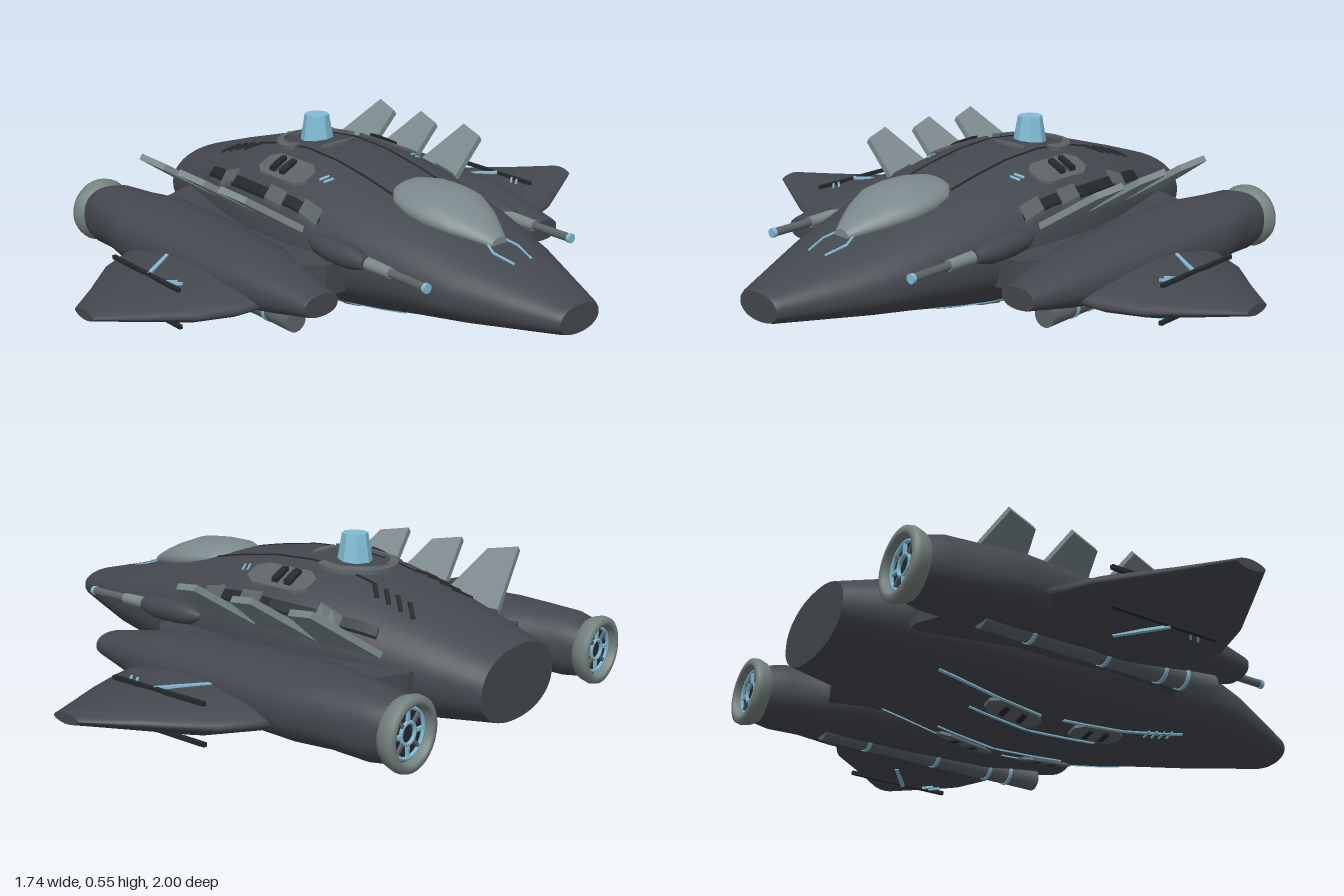
import * as THREE from 'three';

const mat = (name, color, side = THREE.FrontSide) => {
  const m = new THREE.MeshStandardMaterial({ color, side });
  m.name = name;
  return m;
};

// Hull stations: x, half width, top y, bottom y
const HULL = [
  [-0.87, 0.185, 0.32, 0.1], [-0.7, 0.235, 0.375, 0.078], [-0.5, 0.285, 0.435, 0.052],
  [-0.35, 0.32, 0.468, 0.028], [-0.2, 0.345, 0.483, 0.01], [-0.05, 0.336, 0.476, 0.018],
  [0.1, 0.32, 0.452, 0.03], [0.25, 0.293, 0.42, 0.055], [0.4, 0.258, 0.385, 0.085],
  [0.57, 0.215, 0.335, 0.115], [0.72, 0.15, 0.295, 0.14], [0.855, 0.09, 0.26, 0.162], [0.87, 0.08, 0.253, 0.167],
];
const HULL_POWER = 2.2;

// Height of the hull skin at x, z (sign 1 = upper side, -1 = lower side)
function hullY(x, z, sign) {
  let i = 0;
  while (i < HULL.length - 2 && x > HULL[i + 1][0]) i++;
  const a = HULL[i], b = HULL[i + 1], t = (x - a[0]) / (b[0] - a[0]);
  const [w, top, bottom] = [1, 2, 3].map((k) => a[k] + (b[k] - a[k]) * t);
  const r = Math.min(1, Math.abs(z) / w);
  return (top + bottom) / 2 + sign * (top - bottom) / 2 * Math.pow(1 - Math.pow(r, HULL_POWER), 1 / HULL_POWER);
}

// Superellipse ring; u is the in-plane horizontal axis ('z' for hulls, 'x' for wings)
function ring(axis, at, cu, cy, hu, hy, power = 2, n = 32) {
  return Array.from({ length: n }, (_, i) => {
    const a = i / n * Math.PI * 2, c = Math.cos(a), s = Math.sin(a);
    const u = cu + hu * Math.sign(c) * Math.pow(Math.abs(c), 2 / power);
    const y = cy + hy * Math.sign(s) * Math.pow(Math.abs(s), 2 / power);
    return axis === 'x' ? [at, y, u] : [u, y, at];
  });
}

// Smooth skin over rings, with flat end caps; the winding is made to face outward
function loft(rings) {
  const n = rings[0].length, pos = rings.flat(), idx = [];
  for (let r = 0; r < rings.length - 1; r++) {
    for (let i = 0; i < n; i++) {
      const j = (i + 1) % n, a = r * n + i, b = r * n + j, c = a + n, d = b + n;
      idx.push([a, c, b], [b, c, d]);
    }
  }
  for (const [cap, flip] of [[rings[0], false], [rings[rings.length - 1], true]]) {
    const s = pos.length;
    pos.push(...cap);
    for (let i = 1; i < n - 1; i++) idx.push(flip ? [s, s + i + 1, s + i] : [s, s + i, s + i + 1]);
  }
  const v = (k) => new THREE.Vector3(...pos[k]);
  const volume = idx.reduce((sum, [a, b, c]) => sum + v(a).dot(v(b).cross(v(c))), 0);
  if (volume < 0) idx.forEach((f) => f.reverse());
  const g = new THREE.BufferGeometry();
  g.setAttribute('position', new THREE.Float32BufferAttribute(pos.flat(), 3));
  g.setIndex(idx.flat());
  g.computeVertexNormals();
  return g;
}

// Lay a flat geometry (lying in xz) over the hull skin
function drape(geo, sign = 1) {
  const g = geo.index ? geo.toNonIndexed() : geo, p = g.attributes.position;
  for (let i = 0; i < p.count; i++) p.setY(i, p.getY(i) + hullY(p.getX(i), p.getZ(i), sign));
  g.computeVertexNormals();
  return g;
}

function bar(x1, z1, x2, z2, width, height) {
  const len = Math.hypot(x2 - x1, z2 - z1);
  return new THREE.BoxGeometry(len, height, width, Math.ceil(len / 0.04), 1, 1)
    .rotateY(-Math.atan2(z2 - z1, x2 - x1)).translate((x1 + x2) / 2, 0, (z1 + z2) / 2);
}

// Plate from an outline of [x, z] points, centred on y = 0
function plate(points, height) {
  const shape = new THREE.Shape(points.map(([x, z]) => new THREE.Vector2(x, -z)));
  return new THREE.ExtrudeGeometry(shape, { depth: height, bevelEnabled: false })
    .rotateX(-Math.PI / 2).translate(0, -height / 2, 0);
}

const hexPlate = (x, z, l, w, h) => plate([[-l, -w * 0.5], [-l * 0.7, -w], [l * 0.7, -w], [l, -w * 0.5],
  [l, w * 0.5], [l * 0.7, w], [-l * 0.7, w], [-l, w * 0.5]].map(([a, b]) => [x + a, z + b]), h);

// Cylinder along x from x1 to x2
const rod = (x1, x2, r1, r2, y, z, n = 16) =>
  new THREE.CylinderGeometry(r2, r1, x2 - x1, n).rotateZ(-Math.PI / 2).translate((x1 + x2) / 2, y, z);

export function createModel() {
  const dark = mat('hull charcoal', 0x44484f);
  const gray = mat('panel gray', 0x7c898c);
  const steel = mat('steel', 0x5c6468);
  const blue = mat('glow blue', 0x82bdd6);
  const black = mat('trim black', 0x26292d);
  const flare = mat('nozzle gray', 0x75827f, THREE.DoubleSide);

  const model = new THREE.Group();
  const side = new THREE.Group();
  side.name = 'leftSide';
  const add = (parent, name, geo, material) => {
    const m = new THREE.Mesh(geo, material);
    m.name = name;
    parent.add(m);
    return m;
  };

  // Fuselage
  add(model, 'fuselage', loft(HULL.map(([x, w, t, b]) =>
    ring('x', x, 0, (t + b) / 2, w, (t - b) / 2, HULL_POWER, 48))), dark);

  // Cockpit canopy: x, centre y, half width, half height
  add(model, 'canopy', loft([
    [0.16, 0.415, 0.05, 0.02], [0.18, 0.415, 0.085, 0.033], [0.23, 0.41, 0.12, 0.043], [0.3, 0.4, 0.132, 0.053],
    [0.37, 0.39, 0.127, 0.057], [0.44, 0.375, 0.1, 0.045], [0.5, 0.36, 0.065, 0.032], [0.555, 0.342, 0.03, 0.02],
  ].map(([x, y, w, h]) => ring('x', x, 0, y, w, h, 2, 24))), gray);

  // Dorsal beacon and its collar
  add(model, 'beacon', new THREE.CylinderGeometry(0.04, 0.057, 0.1, 8).toNonIndexed()
    .translate(-0.28, 0.506, 0), blue).geometry.computeVertexNormals();
  const collar = new THREE.Shape();
  collar.absarc(0, 0, 0.133, 1.25, Math.PI * 2 - 1.25, false);
  collar.absarc(0, 0, 0.107, Math.PI * 2 - 1.25, 1.25, true);
  add(model, 'beaconCollar', drape(new THREE.ExtrudeGeometry(collar, { depth: 0.025, bevelEnabled: false, curveSegments: 24 })
    .rotateX(-Math.PI / 2).translate(-0.28, -0.012, 0)), steel);
  add(model, 'dorsalVent', drape(plate([[-0.17, -0.07], [-0.155, -0.04], [-0.15, 0], [-0.155, 0.04], [-0.17, 0.07]], 0.02)), steel);

  // Upper hull trim
  add(side, 'upperPanelLine', drape(bar(-0.44, 0.1, 0.2, 0.1, 0.006, 0.006)), black);
  for (let i = 0; i < 4; i++) {
    const x = -0.61 + i * 0.043;
    add(side, 'ventSlash', drape(bar(x, 0.15, x + 0.045, 0.105, 0.013, 0.012)), black);
  }
  add(side, 'hatch', drape(hexPlate(-0.17, 0.212, 0.118, 0.042, 0.02)), steel);
  for (const x of [-0.215, -0.165]) add(side, 'hatchLatch', drape(bar(x, 0.185, x, 0.238, 0.024, 0.03)), black);
  for (const x of [-0.015, 0.005]) add(side, 'upperMark', drape(bar(x - 0.008, 0.2, x + 0.006, 0.172, 0.006, 0.008)), blue);
  add(side, 'noseLight', drape(bar(0.54, 0.035, 0.58, 0.05, 0.006, 0.008)), blue);
  add(side, 'noseLight', drape(bar(0.58, 0.05, 0.65, 0.035, 0.006, 0.008)), blue);

  // Shoulder rail with boxes
  [[-0.55, 0.235, -0.35, 0.28], [-0.35, 0.28, -0.2, 0.3], [-0.2, 0.3, 0.08, 0.283]].forEach((p) =>
    add(side, 'shoulderRail', drape(bar(...p, 0.02, 0.016)), black));
  for (const [x, z] of [[-0.4, 0.27], [-0.12, 0.297], [0.04, 0.287]])
    add(side, 'shoulderBox', drape(bar(x - 0.04, z, x + 0.04, z, 0.03, 0.03)), steel);

  // Belly trim
  for (const [x1, x2, z] of [[-0.55, -0.2, 0.17], [-0.12, 0.34, 0.17], [-0.4, 0.05, 0.09]])
    add(side, 'bellyLight', drape(bar(x1, z, x2, z, 0.007, 0.008), -1), blue);
  for (const x of [-0.28, 0.02]) {
    add(side, 'bellyHatch', drape(hexPlate(x, 0.14, 0.09, 0.032, 0.018), -1), steel);
    for (const d of [-0.03, 0.03]) add(side, 'bellyLatch', drape(bar(x + d, 0.12, x + d, 0.16, 0.018, 0.026), -1), black);
  }
  for (let i = 0; i < 4; i++)
    add(side, 'bellyMark', drape(bar(0.2 + i * 0.03, 0.15, 0.2 + i * 0.03, 0.18, 0.007, 0.008), -1), blue);

  // Pylon between fuselage and engine
  add(side, 'pylon', plate([[-0.68, 0.2], [-0.68, 0.265], [-0.63, 0.38], [-0.5, 0.46], [0.1, 0.46], [0.2, 0.36], [0.2, 0.25]], 0.1)
    .translate(0, 0.21, 0), dark);

  // Engine nacelle: x, z, y, half width, half height
  add(side, 'nacelle', loft([
    [-0.82, 0.487, 0.188, 0.09, 0.088], [-0.76, 0.487, 0.192, 0.105, 0.1], [-0.65, 0.485, 0.198, 0.118, 0.1],
    [-0.53, 0.475, 0.198, 0.155, 0.104], [-0.3, 0.47, 0.198, 0.15, 0.102], [0, 0.467, 0.197, 0.133, 0.09],
    [0.15, 0.467, 0.198, 0.1, 0.066], [0.3, 0.467, 0.2, 0.064, 0.037], [0.31, 0.467, 0.2, 0.06, 0.034],
  ].map(([x, z, y, w, h]) => ring('x', x, z, y, w, h, 2.3, 32))), dark);

  // Exhaust nozzle with glowing rotor
  const nozzle = new THREE.Group();
  nozzle.name = 'exhaust';
  nozzle.position.set(-0.87, 0.187, 0.488);
  nozzle.rotation.z = -Math.PI / 2;
  side.add(nozzle);
  const profile = [[0.078, 0.035], [0.08, 0.003], [0.09, 0], [0.104, 0.005], [0.107, 0.02], [0.1, 0.045], [0.088, 0.062]];
  add(nozzle, 'nozzleRing', new THREE.LatheGeometry(profile.map((p) => new THREE.Vector2(...p)), 32), flare);
  add(nozzle, 'nozzleBack', new THREE.CylinderGeometry(0.08, 0.08, 0.01, 32).translate(0, 0.035, 0), black);
  for (const r of [0.068, 0.03])
    add(nozzle, 'glowRing', new THREE.TorusGeometry(r, 0.006, 6, 32).rotateX(Math.PI / 2).translate(0, 0.025, 0), blue);
  for (let i = 0; i < 8; i++)
    add(nozzle, 'rotorBlade', new THREE.BoxGeometry(0.04, 0.008, 0.01).translate(0.048, 0.025, 0).rotateY(i * Math.PI / 4), i % 2 ? steel : blue);

  // Wing: z, rear x, front x, centre y, half thickness
  add(side, 'wing', loft([
    [0.45, -0.52, 0.15, 0.17, 0.075], [0.62, -0.49, 0.13, 0.162, 0.066], [0.74, -0.42, 0.09, 0.164, 0.055],
    [0.88, -0.27, 0.015, 0.178, 0.034], [1, -0.15, -0.05, 0.191, 0.016],
  ].map(([z, a, b, y, h]) => ring('z', z, (a + b) / 2, y, (b - a) / 2, h, 1.7, 28))), dark);
  for (const y of [0.222, 0.106]) {
    add(side, 'wingRail', bar(-0.36, 0.74, -0.005, 0.74, 0.012, 0.012).translate(0, y, 0), black);
    add(side, 'wingLight', bar(-0.26, 0.61, -0.165, 0.74, 0.012, 0.008).translate(0, y > 0.2 ? 0.224 : 0.1, 0), blue);
    for (const x of [-0.09, -0.065]) add(side, 'wingMark', bar(x, 0.735, x + 0.025, 0.705, 0.007, 0.008).translate(0, y, 0), blue);
  }

  // Ordnance tube below the nacelle
  add(side, 'ordnanceTube', rod(-0.6, 0.2, 0.036, 0.036, 0.117, 0.475), steel);
  for (const x of [-0.45, -0.2, 0, 0.08]) add(side, 'tubeBand', rod(x, x + 0.012, 0.039, 0.039, 0.117, 0.475), blue);

  // Cannon
  add(side, 'cannonBody', loft([[0.07, 0.012], [0.11, 0.03], [0.17, 0.038], [0.26, 0.036], [0.32, 0.02]]
    .map(([x, r]) => ring('x', x, 0.31, 0.29, r, r, 2, 16))), dark);
  add(side, 'cannonSleeve', rod(0.3, 0.42, 0.02, 0.017, 0.287, 0.3), gray);
  add(side, 'cannonBarrel', rod(0.42, 0.56, 0.013, 0.013, 0.287, 0.3), steel);
  add(side, 'cannonMuzzle', rod(0.56, 0.572, 0.015, 0.015, 0.287, 0.3), blue);

  // Three canted dorsal fins, each a plate tilted up and outward
  const slope = Math.atan2(0.15, 0.22);
  for (let i = 0; i < 3; i++) {
    const fin = add(side, 'dorsalFin', plate([[-0.61, 0], [-0.54, 0.265], [-0.44, 0.235], [-0.39, 0]], 0.02), gray);
    fin.rotation.x = -slope;
    fin.position.set(i * 0.215, 0.305, 0.295);
  }

  // Mirror the side parts
  const other = side.clone();
  other.name = 'rightSide';
  other.scale.z = -1;
  model.add(side, other);
  return model;
}
